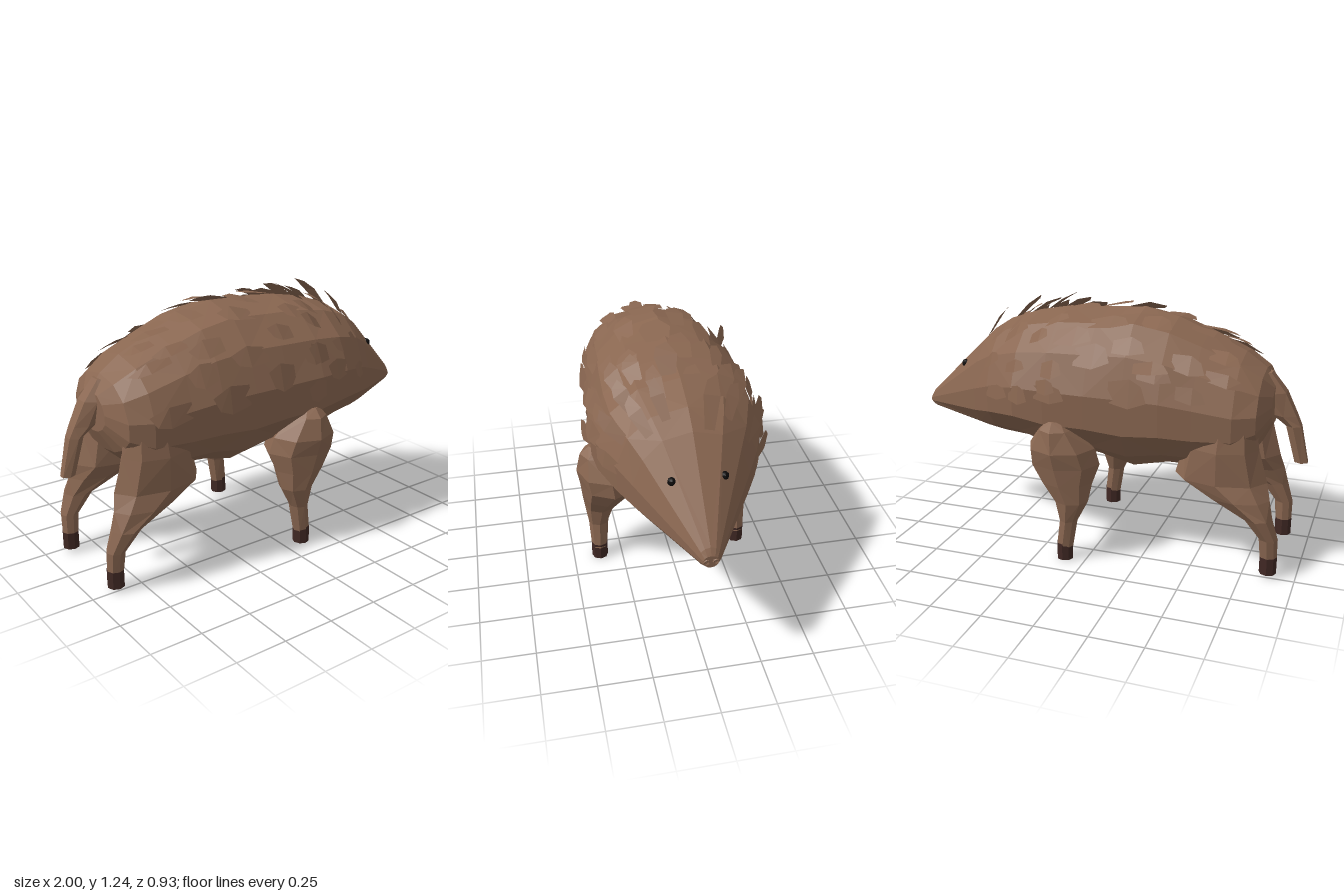
import * as THREE from 'three';
import { mergeGeometries } from 'three/addons/utils/BufferGeometryUtils.js';

const mat = (color) => new THREE.MeshStandardMaterial({ color, flatShading: true, side: THREE.DoubleSide });
const hide = mat(0x8a6751), hoofMat = mat(0x402824), black = mat(0x0c0a0a);

// Trunk and head sections: x, top, bottom, half width, height of the widest point
const SECTIONS = [
  [-0.83, 0.89, 0.70, 0.13, 0.78], [-0.78, 0.96, 0.60, 0.26, 0.74], [-0.68, 1.03, 0.51, 0.315, 0.72],
  [-0.50, 1.11, 0.46, 0.34, 0.73], [-0.35, 1.17, 0.46, 0.365, 0.74], [-0.18, 1.205, 0.42, 0.38, 0.74],
  [0.00, 1.195, 0.47, 0.395, 0.75], [0.20, 1.185, 0.46, 0.405, 0.76], [0.36, 1.155, 0.52, 0.395, 0.77],
  [0.52, 1.10, 0.525, 0.33, 0.75], [0.62, 1.035, 0.535, 0.27, 0.72], [0.975, 0.69, 0.59, 0.05, 0.635],
  [0.995, 0.66, 0.60, 0.035, 0.63],
];

// Point on the trunk at length x and angle a from the spine (positive toward +z)
function surface(x, a) {
  let i = 0;
  while (i < SECTIONS.length - 2 && x > SECTIONS[i + 1][0]) i++;
  const p = SECTIONS[i], q = SECTIONS[i + 1];
  const t = THREE.MathUtils.clamp((x - p[0]) / (q[0] - p[0]), 0, 1);
  const [, top, bottom, w, mid] = p.map((v, k) => v + (q[k] - v) * t);
  const c = Math.cos(a), s = Math.sin(a);
  // Full flanks above, with a belly that tapers below the widest point
  const taper = c < 0 ? 1 - 0.18 * c * c : 1;
  const z = w * taper * Math.sign(s) * Math.abs(s) ** 0.86;
  return new THREE.Vector3(x, mid + c * (c > 0 ? top - mid : mid - bottom), z);
}

function fromTriangles(points) {
  const g = new THREE.BufferGeometry().setFromPoints(points);
  g.computeVertexNormals();
  return g;
}

// Skin a list of rings (counter-clockwise about their direction of travel), with end caps
function loft(rings) {
  const out = [], n = rings[0].length;
  for (let i = 0; i < rings.length - 1; i++) {
    for (let j = 0; j < n; j++) {
      const k = (j + 1) % n, A = rings[i], B = rings[i + 1];
      if ((i + j) % 2) out.push(A[j], A[k], B[k], A[j], B[k], B[j]);
      else out.push(A[j], A[k], B[j], A[k], B[k], B[j]);
    }
  }
  const first = rings[0], last = rings[rings.length - 1];
  for (let j = 1; j < n - 1; j++) {
    out.push(first[0], first[j + 1], first[j], last[0], last[j], last[j + 1]);
  }
  return fromTriangles(out);
}

// Upright limb from [x, y, z, radius x, radius z] stations, bottom to top
function limb(stations, sides = 8) {
  return loft(stations.map(([x, y, z, rx, rz]) => Array.from({ length: sides }, (_, j) => {
    const a = (j / sides) * Math.PI * 2;
    return new THREE.Vector3(x + rx * Math.sin(a), y, z + rz * Math.cos(a));
  })));
}

// Flat ragged lock of bristles lying backward over the trunk
function tuft(x, a, len, width, lift) {
  const at = (u, side, shape) => {
    const ang = a + side * shape * width / 0.38;
    const p = surface(x - len * u, ang), h = -0.004 + 0.016 * Math.min(1, u * 2) + lift * u;
    return p.add(new THREE.Vector3(0, Math.cos(a) * h, Math.sin(a) * h));
  };
  const b0 = at(0, -1, 0.7), b1 = at(0, 1, 0.7), m0 = at(0.55, -1, 1), m1 = at(0.55, 1, 1);
  const t0 = at(1, -1, 0.5), t1 = at(0.85, 1, 0.6);
  return fromTriangles([b0, b1, m1, b0, m1, m0, m0, m1, t1, m0, t1, t0]);
}

export function createModel() {
  const model = new THREE.Group();
  const add = (name, geometry, material) => {
    const mesh = new THREE.Mesh(geometry, material);
    mesh.name = name;
    model.add(mesh);
    return mesh;
  };

  // Trunk, neck and wedge-shaped head in one skin
  const SIDES = 14;
  add('bodyAndHead', loft(SECTIONS.map(([x]) => Array.from({ length: SIDES },
    (_, j) => surface(x, (j / SIDES) * Math.PI * 2)))), hide);

  // Legs and hooves; the thighs spread inward and forward into the belly
  const frontLeg = [
    [0.105, 0.07, 0.365, 0.042, 0.04], [0.085, 0.21, 0.362, 0.045, 0.05], [0.075, 0.31, 0.35, 0.085, 0.078],
    [0.105, 0.40, 0.33, 0.13, 0.11], [0.125, 0.49, 0.30, 0.178, 0.15], [0.135, 0.57, 0.31, 0.165, 0.155],
    [0.145, 0.67, 0.33, 0.09, 0.115], [0.15, 0.71, 0.33, 0.05, 0.07],
  ];
  const hindLeg = [
    [-0.87, 0.09, 0.228, 0.04, 0.038], [-0.865, 0.20, 0.235, 0.045, 0.045], [-0.81, 0.30, 0.24, 0.07, 0.07],
    [-0.71, 0.385, 0.225, 0.15, 0.098], [-0.62, 0.46, 0.195, 0.22, 0.125], [-0.62, 0.62, 0.20, 0.175, 0.125],
    [-0.63, 0.78, 0.19, 0.14, 0.11],
  ];
  for (const s of [1, -1]) {
    const side = s > 0 ? 'near' : 'far';
    for (const [name, path, hoofY] of [['FrontLeg', frontLeg, 0.045], ['HindLeg', hindLeg, 0.063]]) {
      add(side + name, limb(path.map(([x, y, z, rx, rz]) => [x, y, s * z, rx, rz])), hide);
      const hoof = add(side + name + 'Hoof', new THREE.CylinderGeometry(0.041, 0.041, 0.085, 8), hoofMat);
      hoof.position.set(path[0][0], hoofY, s * path[0][2]);
    }

    // Eyes sunk into the sloping face
    const eye = add(side + 'Eye', new THREE.SphereGeometry(0.02, 8, 6), black);
    eye.position.copy(surface(0.745, s * 0.58)).add(new THREE.Vector3(-0.008, -0.004, 0));

    // Nostrils on the flat snout
    const nostril = add(side + 'Nostril', new THREE.TorusGeometry(0.011, 0.004, 5, 8), hide);
    nostril.position.set(0.996, 0.63, s * 0.02);
    nostril.rotation.y = Math.PI / 2;
  }

  // Hanging tail, thick where it leaves the rump
  add('tail', limb([
    [-0.965, 0.51, 0, 0.035, 0.03], [-0.92, 0.69, 0, 0.04, 0.045],
    [-0.875, 0.74, 0, 0.065, 0.055], [-0.825, 0.85, 0, 0.06, 0.065], [-0.77, 0.94, 0, 0.04, 0.05],
  ], 6), hide);

  // Coat: scattered rows of broad locks, flat on the back and flanks
  let seed = 7;
  const rand = () => (seed = (seed * 16807) % 2147483647) / 2147483647;
  const coat = [];
  for (let row = 0; row < 6; row++) {
    for (let k = -2; k <= 2; k++) {
      const a = (k + (row % 2) * 0.5 - 0.25) * 0.55 + (rand() - 0.5) * 0.25;
      coat.push(tuft(0.2 - row * 0.15 + (rand() - 0.5) * 0.1, a, 0.14 + rand() * 0.07,
        0.035 + rand() * 0.025, rand() * 0.012));
    }
  }
  // A few stray locks on back and flank
  coat.push(tuft(-0.22, -1.0, 0.19, 0.03, 0.09), tuft(-0.45, 0.1, 0.19, 0.03, 0.03));
  add('coat', mergeGeometries(coat), hide);

  // Mane: raised rows around the neck, tallest along the spine, sweeping back at the cheeks
  const mane = [];
  for (const [x, count, lift] of [[0.59, 8, 0.09], [0.46, 9, 0.06], [0.31, 9, 0.05]]) {
    for (let k = 0; k < count; k++) {
      const a = ((k + 0.5) / count - 0.5) * 3.1 + (rand() - 0.5) * 0.2;
      mane.push(tuft(x - 0.06 * Math.abs(a) + (rand() - 0.5) * 0.07, a, 0.1 + rand() * 0.06,
        0.03 + rand() * 0.02, lift * (0.25 + 0.75 * Math.max(0, Math.cos(a))) * (0.4 + rand() * 0.7)));
    }
  }
  add('mane', mergeGeometries(mane), hide);
  return model;
}
